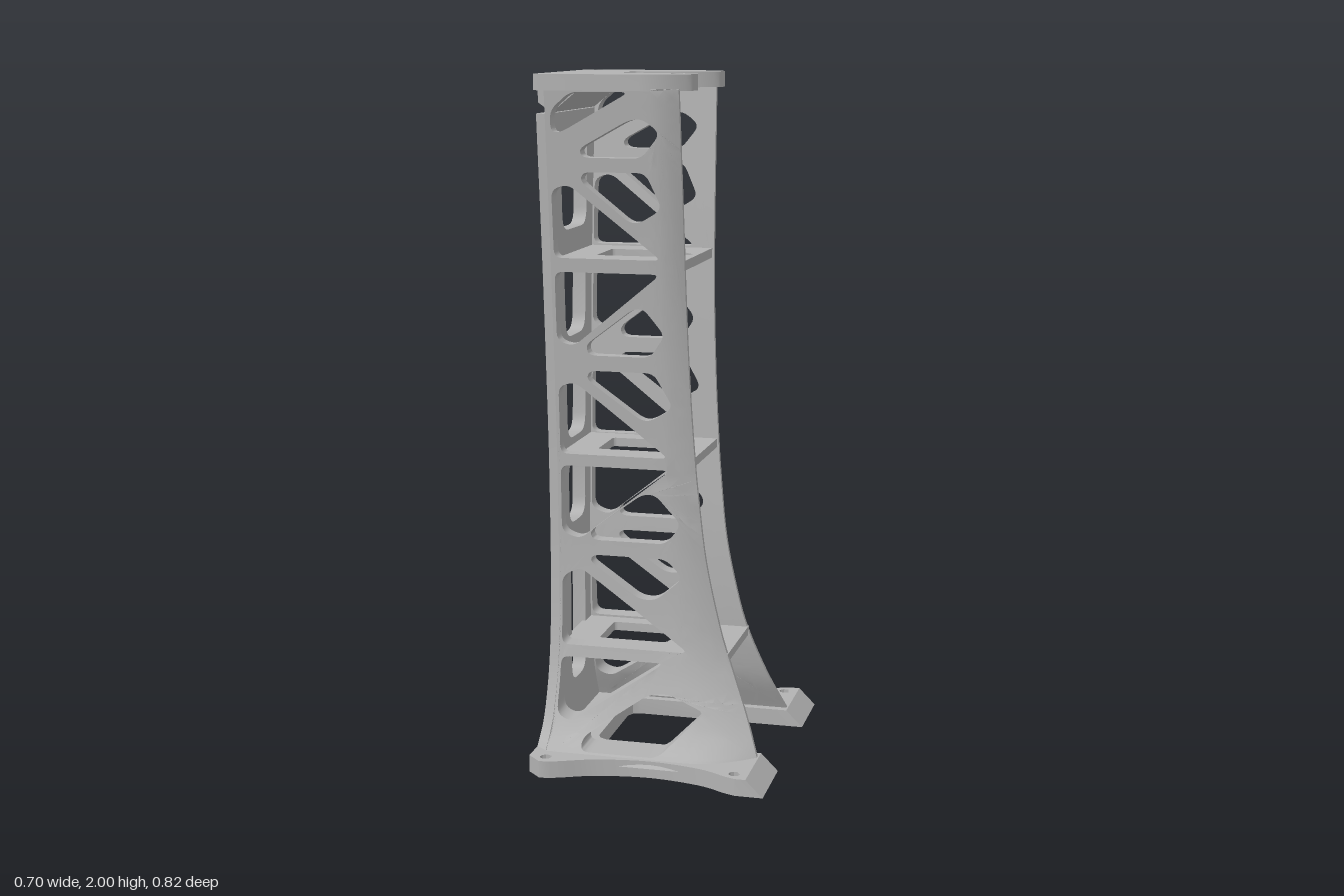
import * as THREE from 'three';
import { toCreasedNormals } from 'three/addons/utils/BufferGeometryUtils.js';

// Smooth function of height through [y, value] points
function profile(pts) {
  const s = new THREE.SplineCurve(pts.map(([y, v]) => new THREE.Vector2(y, v))).getPoints(160);
  return (y) => {
    let i = 1;
    while (i < s.length - 1 && s[i].x < y) i++;
    const t = THREE.MathUtils.clamp((y - s[i - 1].x) / (s[i].x - s[i - 1].x), 0, 1);
    return THREE.MathUtils.lerp(s[i - 1].y, s[i].y, t);
  };
}
// Half width outside and inside, and front edge of the walls
const outer = profile([[0, 0.37], [0.05, 0.325], [0.1, 0.27], [0.17, 0.232], [0.27, 0.2], [0.4, 0.181], [0.6, 0.174],
  [0.8, 0.177], [1, 0.185], [1.45, 0.217], [1.8, 0.25], [2, 0.27]]);
const inner = profile([[0, 0.235], [0.05, 0.215], [0.15, 0.168], [0.25, 0.142], [0.35, 0.13], [0.6, 0.13],
  [0.9, 0.145], [1.45, 0.174], [1.88, 0.215], [2, 0.228]]);
const front = profile([[0, 0.315], [0.05, 0.295], [0.1, 0.275], [0.2, 0.235], [0.3, 0.197], [0.4, 0.165], [0.6, 0.122],
  [0.8, 0.1], [0.9, 0.092], [1.1, 0.08], [1.4, 0.07], [2, 0.063]]);

// Polygon with rounded corners
function rounded(pts, r, path = new THREE.Path()) {
  const v = pts.map(([x, y]) => new THREE.Vector2(x, y));
  v.forEach((p, i) => {
    const a = v[(i + v.length - 1) % v.length], b = v[(i + 1) % v.length];
    const toward = (q) => p.clone().add(q.clone().sub(p).setLength(Math.min(r, p.distanceTo(q) * 0.45)));
    const s = toward(a), e = toward(b);
    if (i === 0) path.moveTo(s.x, s.y); else path.lineTo(s.x, s.y);
    path.quadraticCurveTo(p.x, p.y, e.x, e.y);
  });
  path.closePath();
  return path;
}
const round = (x, y, r = 0.017) => new THREE.Path().absarc(x, y, r, 0, Math.PI * 2, true);

function extrude(shape, depth, curveSegments = 5) {
  return new THREE.ExtrudeGeometry(shape, { depth, bevelEnabled: false, curveSegments });
}

// Split every edge longer than max, so that a flat panel can be bent
function subdivide(geo, max) {
  const g = geo.index ? geo.toNonIndexed() : geo, p = g.attributes.position;
  const out = [], stack = [];
  for (let i = 0; i < p.count; i += 3) stack.push([0, 1, 2].map((k) => new THREE.Vector3().fromBufferAttribute(p, i + k)));
  while (stack.length) {
    const [a, b, c] = stack.pop();
    const ab = a.distanceTo(b), bc = b.distanceTo(c), ca = c.distanceTo(a), m = Math.max(ab, bc, ca);
    if (m <= max) {
      const area = b.clone().sub(a).cross(c.clone().sub(a)).length();
      if (area > 1e-9) out.push(a, b, c);
    } else if (m === ab) {
      const h = a.clone().add(b).multiplyScalar(0.5);
      stack.push([a, h, c], [h, b, c]);
    } else if (m === bc) {
      const h = b.clone().add(c).multiplyScalar(0.5);
      stack.push([a, b, h], [a, h, c]);
    } else {
      const h = c.clone().add(a).multiplyScalar(0.5);
      stack.push([a, b, h], [h, b, c]);
    }
  }
  return new THREE.BufferGeometry().setFromPoints(out);
}

function warp(geo, rule) {
  const p = geo.attributes.position, v = new THREE.Vector3();
  for (let i = 0; i < p.count; i++) {
    rule(v.fromBufferAttribute(p, i));
    p.setXYZ(i, v.x, v.y, v.z);
  }
  return geo;
}

// Lattice wall: flat truss bent to the flared section, its front edge curling inward
function sideWall() {
  const shape = new THREE.Shape();
  shape.moveTo(-0.315, 0.03);
  for (let i = 0; i <= 48; i++) {
    const y = 0.03 + 1.93 * (i / 48) ** 1.4;
    shape.lineTo(front(y), y);
  }
  shape.lineTo(-0.315, 1.96);
  const holes = [
    [[-0.21, 0.055], [0.02, 0.055], [0.14, 0.17], [0.03, 0.215], [-0.03, 0.21], [-0.215, 0.085]],
    [[-0.305, 0.3], [0.01, 0.3], [-0.26, 0.12], [-0.305, 0.14]],
    [[-0.305, 0.335], [0.08, 0.335], [-0.25, 0.57], [-0.305, 0.54]],
    [[-0.21, 0.61], [0.01, 0.61], [0.06, 0.555], [-0.02, 0.485], [-0.07, 0.485], [-0.22, 0.59]],
    [[-0.21, 0.655], [0.01, 0.655], [0.055, 0.715], [-0.02, 0.8], [-0.06, 0.8], [-0.22, 0.68]],
    [[-0.305, 0.875], [0.025, 0.875], [-0.25, 0.655], [-0.305, 0.675]],
    [[-0.305, 0.91], [0.02, 0.91], [-0.255, 1.125], [-0.305, 1.11]],
    [[-0.21, 1.16], [-0.02, 1.16], [0.035, 1.06], [-0.03, 1.02], [-0.06, 1.02], [-0.22, 1.135]],
    [[-0.21, 1.205], [-0.03, 1.205], [0.015, 1.27], [-0.045, 1.345], [-0.075, 1.345], [-0.22, 1.235]],
    [[-0.305, 1.445], [0.005, 1.445], [-0.255, 1.23], [-0.305, 1.245]],
    [[-0.305, 1.485], [0.01, 1.485], [-0.255, 1.695], [-0.305, 1.68]],
    [[-0.21, 1.73], [-0.03, 1.73], [0.015, 1.63], [-0.05, 1.59], [-0.08, 1.59], [-0.22, 1.705]],
    [[-0.21, 1.77], [-0.04, 1.77], [0.015, 1.84], [-0.035, 1.88], [-0.075, 1.875], [-0.22, 1.795]],
    [[-0.3, 1.84], [-0.27, 1.84], [-0.07, 1.952], [-0.24, 1.952], [-0.3, 1.9]],
  ];
  shape.holes = holes.map((h) => rounded(h, 0.025));
  return warp(subdivide(extrude(shape, 0.04), 0.05), (v) => {
    const xe = front(v.y), zi = inner(v.y);
    const w = 0.08 + 0.5 * Math.max(0, xe - 0.065);
    const s = THREE.MathUtils.clamp((v.x - xe + w) / w, 0, 1);
    const zo = THREE.MathUtils.lerp(outer(v.y), zi + 0.014, s * s);
    v.z = THREE.MathUtils.lerp(zi, zo, v.z / 0.04);
  });
}

// Back panel with rounded windows and chamfered long edges
function backPanel() {
  const edge = [];
  for (let i = 0; i <= 40; i++) {
    const y = 0.02 + 1.87 * (i / 40) ** 1.4;
    edge.push(new THREE.Vector2(outer(y), y));
  }
  const shape = new THREE.Shape([...edge, ...edge.map((p) => new THREE.Vector2(-p.x, p.y)).reverse()]);
  const windows = [[0.18, 0.59, 0.072, 0.072], [0.67, 0.86, 0.08, 0.084], [0.93, 1.15, 0.088, 0.098],
    [1.235, 1.455, 0.095, 0.11], [1.55, 1.83, 0.118, 0.133]];
  shape.holes = windows.map(([y0, y1, a, b]) => rounded([[-a, y0], [a, y0], [b, y1], [-b, y1]], 0.05));
  return warp(extrude(shape, 0.04), (v) => {
    const w = outer(v.y);
    if (v.z < 0.01 && Math.abs(v.x) > w - 0.003) v.x = Math.sign(v.x) * (w - 0.03);
    v.set(v.z - 0.35, v.y, -v.x);
  });
}

// Foot plate: scalloped sides, open U at the front, sloped prong ends
function basePlate() {
  const scallop = new THREE.SplineCurve([[0.27, 0.408], [0.235, 0.395], [0.15, 0.356], [0, 0.335], [-0.15, 0.356],
    [-0.25, 0.395], [-0.285, 0.408]].map((p) => new THREE.Vector2(...p))).getPoints(30);
  const half = [[0.35, 0.19], [0.35, 0.408], ...scallop.map((p) => [p.x, p.y]), [-0.31, 0.408], [-0.35, 0.37]];
  const notch = [[-0.2, 0.16], [-0.19, 0.18], [-0.17, 0.19]];
  const pts = [...notch, ...half];
  const all = [...pts, ...pts.map(([x, z]) => [x, -z]).reverse()];
  const shape = new THREE.Shape(all.map((p) => new THREE.Vector2(...p)));
  for (const s of [1, -1]) shape.holes.push(round(-0.3, s * 0.37), round(0.26, s * 0.37));
  return warp(extrude(shape, 0.05), (v) => {
    if (v.z > 0.04 && v.x > 0.34) v.x = 0.3;
  }).rotateX(-Math.PI / 2);
}

// Mounting plate: two rounded arms around a central slot
function topPlate() {
  const shape = new THREE.Shape();
  shape.moveTo(-0.35, -0.25);
  shape.lineTo(-0.33, -0.27);
  shape.lineTo(-0.04, -0.27);
  shape.bezierCurveTo(0.02, -0.265, 0.06, -0.235, 0.09, -0.205);
  shape.bezierCurveTo(0.103, -0.185, 0.103, -0.155, 0.09, -0.135);
  shape.bezierCurveTo(0.06, -0.105, 0.01, -0.08, -0.03, -0.078);
  shape.lineTo(-0.12, -0.078);
  shape.quadraticCurveTo(-0.148, -0.078, -0.148, -0.05);
  shape.lineTo(-0.148, 0.05);
  shape.quadraticCurveTo(-0.148, 0.078, -0.12, 0.078);
  shape.lineTo(-0.03, 0.078);
  shape.bezierCurveTo(0.01, 0.08, 0.06, 0.105, 0.09, 0.135);
  shape.bezierCurveTo(0.103, 0.155, 0.103, 0.185, 0.09, 0.205);
  shape.bezierCurveTo(0.06, 0.235, 0.02, 0.265, -0.04, 0.27);
  shape.lineTo(-0.33, 0.27);
  shape.lineTo(-0.35, 0.25);
  for (const s of [1, -1]) shape.holes.push(round(-0.3, s * 0.226), round(0.04, s * 0.162));
  return extrude(shape, 0.045, 8).rotateX(-Math.PI / 2).translate(0, 1.955, 0);
}

// Level shelf tying the walls together, with a pointed opening
function shelf(y, thickness) {
  const w = inner(y) + 0.012, x = front(y) - 0.006;
  const shape = new THREE.Shape([[-0.32, -w], [x, -w], [x, w], [-0.32, w]].map((p) => new THREE.Vector2(...p)));
  shape.holes.push(rounded([[-0.22, -0.082], [-0.02, -0.082], [0.05, 0], [-0.02, 0.082], [-0.22, 0.082]], 0.012));
  return extrude(shape, thickness).rotateX(-Math.PI / 2).translate(0, y, 0);
}

export function createModel() {
  const grey = new THREE.MeshStandardMaterial({ color: 0xb2b2b2 });
  grey.name = 'light grey';
  const model = new THREE.Group();
  model.name = 'latticeTower';
  const add = (name, geo) => {
    const mesh = new THREE.Mesh(toCreasedNormals(geo, 0.6), grey);
    mesh.name = name;
    model.add(mesh);
    return mesh;
  };
  add('basePlate', basePlate());
  add('backPanel', backPanel());
  add('topPlate', topPlate());
  const wall = sideWall();
  add('leftSideWall', wall);
  add('rightSideWall', wall).scale.z = -1;
  [[0.303, 0.026], [0.882, 0.026], [1.452, 0.028]].forEach(([y, t], i) => add('shelf' + (i + 1), shelf(y, t)));
  // Sloped rib under the back of the top plate
  const rib = new THREE.Shape([[-0.35, 1.92], [-0.31, 1.892], [-0.23, 1.957], [-0.35, 1.957]].map((p) => new THREE.Vector2(...p)));
  add('topRib', extrude(rib, 0.42).translate(0, 0, -0.21));
  return model;
}
